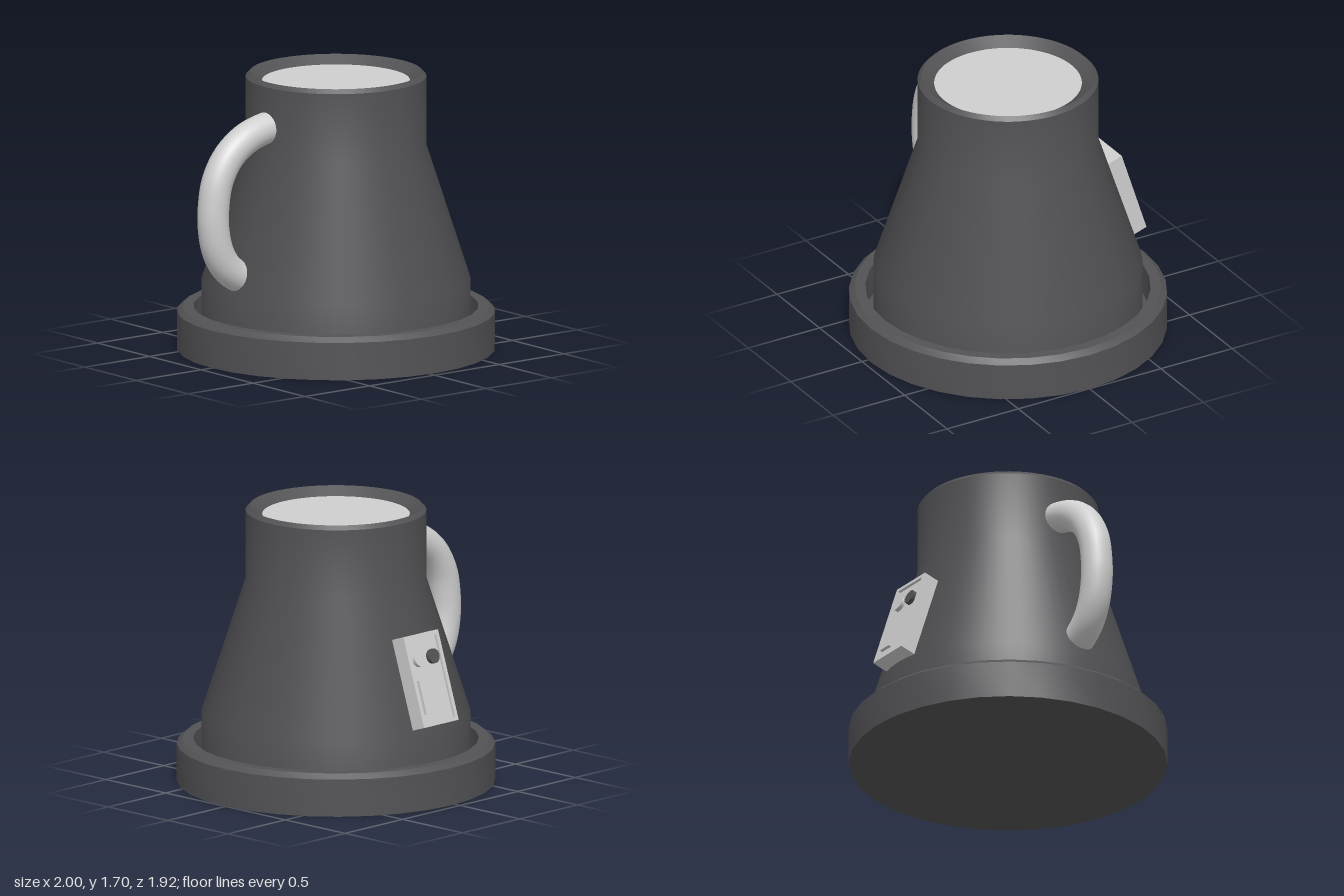
import * as THREE from 'three';
import { toCreasedNormals } from 'three/addons/utils/BufferGeometryUtils.js';

const dark = new THREE.MeshStandardMaterial({ color: 0x535356 });
dark.name = 'charcoal';
const light = new THREE.MeshStandardMaterial({ color: 0xcfcfcf });
light.name = 'lightGrey';

const AXIS_X = 0.04; // the mug axis, offset to balance the handle

function add(parent, name, geometry, material, x = 0, y = 0, z = 0) {
  const mesh = new THREE.Mesh(geometry, material);
  mesh.name = name;
  mesh.position.set(x, y, z);
  parent.add(mesh);
  return mesh;
}

// Turned part with sharp chamfers and smooth sides
function turned(profile, segments) {
  const points = profile.map(([r, y]) => new THREE.Vector2(r, y));
  return toCreasedNormals(new THREE.LatheGeometry(points, segments), 0.5);
}

function rectangle(shape, w, h) {
  shape.moveTo(-w / 2, -h / 2);
  shape.lineTo(w / 2, -h / 2);
  shape.lineTo(w / 2, h / 2);
  shape.lineTo(-w / 2, h / 2);
  shape.closePath();
  return shape;
}

// Control box: local +z points out of its face
function controlBox() {
  const group = new THREE.Group();
  group.name = 'controlBox';
  const w = 0.3, h = 0.56;
  add(group, 'boxBody', new THREE.BoxGeometry(w, h, 0.085), light, 0, 0, -0.0075);

  // Raised frame around the panel
  const frame = rectangle(new THREE.Shape(), w, h);
  frame.holes.push(rectangle(new THREE.Path(), w - 0.05, h - 0.05));
  add(group, 'boxFrame',
    new THREE.ExtrudeGeometry(frame, { depth: 0.015, bevelEnabled: false }), light, 0, 0, 0.035);

  // Two round buttons and a rocker switch
  for (const [name, x, material] of [['darkButton', 0.06, dark], ['lightButton', -0.06, light]]) {
    const button = new THREE.CylinderGeometry(0.045, 0.045, 0.03, 24).rotateX(Math.PI / 2);
    add(group, name, button, material, x, 0.13, 0.045);
  }
  add(group, 'rockerSwitch', new THREE.BoxGeometry(0.095, 0.21, 0.02), light, -0.06, -0.1, 0.044);

  group.position.set(AXIS_X, 0.743, -0.748);
  group.rotation.set(0.315, Math.PI, 0); // lean along the tapered wall
  return group;
}

export function createModel() {
  const model = new THREE.Group();
  model.name = 'mug';

  // Base tray with a chamfered rim and a groove around the body
  add(model, 'baseTray', turned([
    [0, 0], [0.96, 0], [0.96, 0.23], [0.925, 0.26], [0.86, 0.26], [0.86, 0.06], [0, 0.06],
  ], 32), dark, AXIS_X);

  // Tapered body with a dished rim
  add(model, 'body', turned([
    [0.81, 0.05], [0.81, 0.43], [0.545, 1.25], [0.545, 1.675],
    [0.52, 1.7], [0.445, 1.65], [0.445, 1.63],
  ], 64), dark, AXIS_X);

  // Lid set inside the rim
  add(model, 'lid', new THREE.CylinderGeometry(0.446, 0.446, 0.02, 64), light, AXIS_X, 1.64);

  // Handle, with both ends sunk into the body
  const path = new THREE.CatmullRomCurve3([
    [-0.42, 1.43], [-0.52, 1.42], [-0.66, 1.375], [-0.79, 1.28], [-0.875, 1.14], [-0.905, 0.98],
    [-0.905, 0.86], [-0.875, 0.72], [-0.81, 0.61], [-0.72, 0.54], [-0.62, 0.5],
  ].map(([x, y]) => new THREE.Vector3(x, y, 0)));
  add(model, 'handle', new THREE.TubeGeometry(path, 48, 0.096, 24), light);

  model.add(controlBox());
  return model;
}
